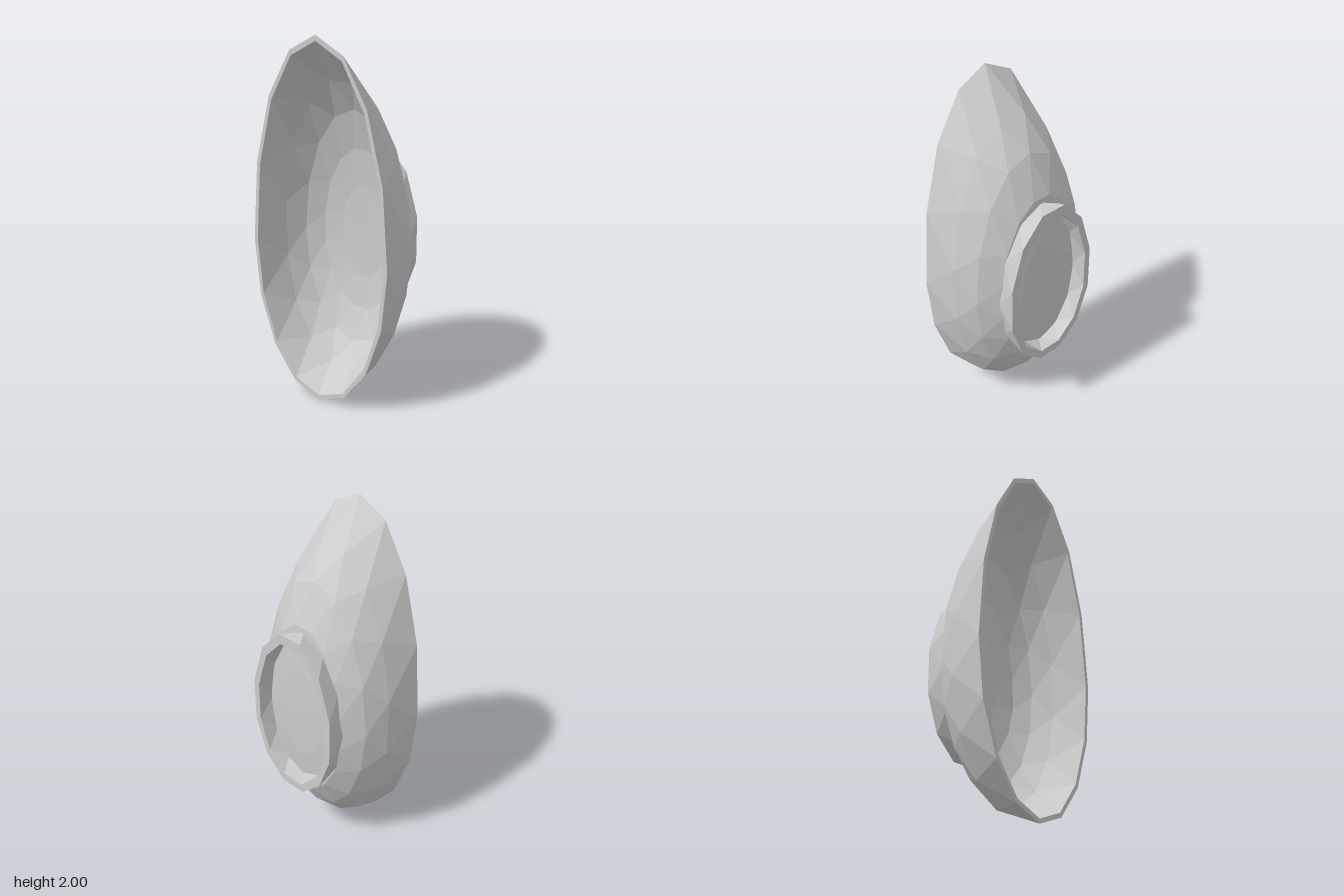
import * as THREE from 'three';

const CENTRE_Y = 0.85; // height of the widest point of the egg outline

// One egg-shaped ring: half width, top height, bottom height, depth, twist in steps.
function eggRing([w, top, bottom, z, phase], sides) {
  return Array.from({ length: sides }, (_, i) => {
    const a = ((i + phase) / sides) * Math.PI * 2;
    const s = Math.sin(a);
    const reach = s > 0 ? top - CENTRE_Y : CENTRE_Y - bottom;
    return [w * Math.cos(a), CENTRE_Y + s * reach, z];
  });
}

// Joins successive rings with triangles; half-step twists give the faceted look.
function loft(name, rings, sides, material) {
  const loops = rings.map((r) => eggRing(r, sides));
  const pos = [];
  for (let k = 0; k < loops.length - 1; k++) {
    const a = loops[k], b = loops[k + 1];
    for (let i = 0; i < sides; i++) {
      const j = (i + 1) % sides;
      pos.push(...a[i], ...b[i], ...a[j], ...b[i], ...b[j], ...a[j]);
    }
  }
  const geo = new THREE.BufferGeometry();
  geo.setAttribute('position', new THREE.Float32BufferAttribute(pos, 3));
  geo.computeVertexNormals();
  const mesh = new THREE.Mesh(geo, material);
  mesh.name = name;
  return mesh;
}

export function createModel() {
  const group = new THREE.Group();
  group.name = 'ovalBowl';
  const material = new THREE.MeshStandardMaterial({
    color: 0xcccccc, flatShading: true, side: THREE.DoubleSide,
  });

  // Hollow shell: inner floor, inner wall, rim, outer wall, outer floor.
  const shell = [
    [0, 0.85, 0.85, -0.155, 0],
    [0.15, 1.14, 0.6, -0.15, 0],
    [0.26, 1.36, 0.42, -0.125, 0.5],
    [0.345, 1.58, 0.24, -0.06, 1],
    [0.4, 1.76, 0.12, 0.05, 1.5],
    [0.43, 1.97, 0.025, 0.253, 2],
    [0.453, 2.0, 0, 0.253, 2],
    [0.428, 1.79, 0.07, 0.05, 2.5],
    [0.375, 1.63, 0.2, -0.075, 3],
    [0.28, 1.41, 0.36, -0.165, 3.5],
    [0.15, 1.14, 0.6, -0.185, 4],
    [0, 0.85, 0.85, -0.19, 4],
  ];
  group.add(loft('bowlShell', shell, 16, material));

  // Thin foot ring standing out from the back.
  const foot = [
    [0.285, 1.37, 0.4, -0.15, 0],
    [0.295, 1.39, 0.385, -0.255, 0.5],
    [0.258, 1.33, 0.435, -0.255, 0.5],
    [0.245, 1.31, 0.45, -0.16, 1],
  ];
  group.add(loft('footRing', foot, 12, material));
  return group;
}
